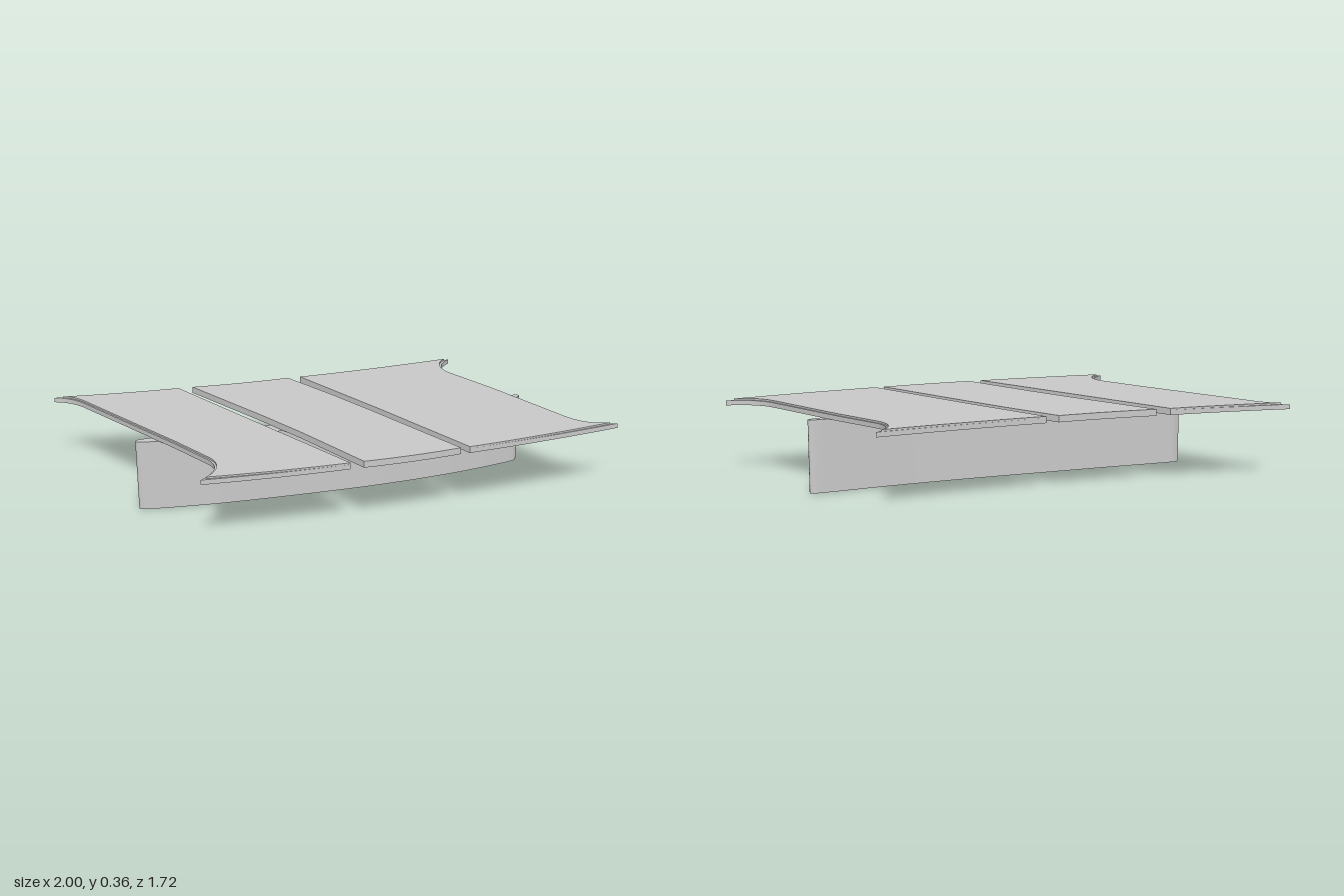
import * as THREE from 'three';
import { toCreasedNormals } from 'three/addons/utils/BufferGeometryUtils.js';

const material = new THREE.MeshStandardMaterial({ color: 0xcccccc });

// Outline in plan, [x, z] start; a 2-number step is a line, a 4-number step a quadratic curve
function planShape(start, steps) {
  const shape = new THREE.Shape();
  shape.moveTo(start[0], -start[1]);
  for (const s of steps) {
    if (s.length === 2) shape.lineTo(s[0], -s[1]);
    else shape.quadraticCurveTo(s[0], -s[1], s[2], -s[3]);
  }
  return shape;
}

// Upright slab from a plan outline between two heights
function slab(name, shape, y0, y1) {
  let geo = new THREE.ExtrudeGeometry(shape, { depth: y1 - y0, bevelEnabled: false, curveSegments: 16 });
  geo.rotateX(-Math.PI / 2);
  geo.translate(0, y0, 0);
  geo = toCreasedNormals(geo, 0.5);
  const mesh = new THREE.Mesh(geo, material);
  mesh.name = name;
  return mesh;
}

// Slightly bowed side edge from a to b
const side = (a, b) => [(a[0] + b[0]) / 2 + 0.016, (a[1] + b[1]) / 2, b[0], b[1]];

// Back panel with two horned corners; d pulls the horned edge inward
function backPanel(d) {
  const left = [-0.03 - d * 0.8, -0.865 + d * 3], right = [1 - d * 2.5, -0.825 + d * 4];
  return planShape([-0.37, -0.18], [
    side([-0.37, -0.18], left),
    [-0.022, -0.75 + d, 0.09, -0.735 + d],
    [0.36, -0.735 + d], [0.8, -0.715 + d],
    [0.92, -0.715 + d, ...right],
    side(right, [0.705, -0.16]),
    [0.15, -0.175],
  ]);
}

function middlePanel() {
  return planShape([-0.4, -0.13], [
    [-0.1, -0.138], [0.15, -0.136], [0.685, -0.125],
    side([0.685, -0.125], [0.485, 0.265]),
    [0.1, 0.252], [-0.15, 0.252], [-0.635, 0.265],
    side([-0.635, 0.265], [-0.4, -0.13]),
  ]);
}

// Front panel with two horned corners
function frontPanel(d) {
  const left = [-1 + d * 4, 0.79 - d * 3.5], right = [0.125 + d * 0.8, 0.855 - d * 3];
  return planShape([-0.67, 0.32], [
    [-0.1, 0.318], [0.455, 0.315],
    side([0.455, 0.315], right),
    [0.11, 0.715 - d, 0, 0.71 - d],
    [-0.22, 0.71 - d], [-0.86, 0.73 - d],
    [-0.945, 0.737 - d, ...left],
    side(left, [-0.67, 0.32]),
  ]);
}

// Bowed blade that carries the top, with rounded ends
function bladeShape() {
  const spine = new THREE.CatmullRomCurve3([
    [-0.392, 0.775], [-0.225, 0.515], [-0.085, 0.28], [0.16, -0.15], [0.33, -0.49], [0.457, -0.79],
  ].map(([x, z]) => new THREE.Vector3(x, 0, z)));
  const a = [], b = [], n = 48;
  for (let i = 0; i <= n; i++) {
    const t = (1 - Math.cos((i / n) * Math.PI)) / 2;
    const p = spine.getPointAt(t), q = spine.getTangentAt(t);
    const w = 0.012 + 0.024 * Math.pow(Math.sin(Math.PI * t), 0.5);
    a.push(new THREE.Vector2(p.x + q.z * w, -(p.z - q.x * w)));
    b.unshift(new THREE.Vector2(p.x - q.z * w, -(p.z + q.x * w)));
  }
  // half-round caps at both ends
  const cap = (t, sign) => {
    const p = spine.getPointAt(t), q = spine.getTangentAt(t), pts = [];
    for (let k = 1; k < 8; k++) {
      const c = Math.cos((k / 8) * Math.PI) * 0.012 * sign, s = Math.sin((k / 8) * Math.PI) * 0.014 * sign;
      pts.push(new THREE.Vector2(p.x + q.z * c + q.x * s, -(p.z - q.x * c + q.z * s)));
    }
    return pts;
  };
  return new THREE.Shape([...a, ...cap(1, 1), ...b, ...cap(0, -1)]);
}

export function createModel() {
  const group = new THREE.Group();
  group.name = 'table';
  group.add(slab('base', bladeShape(), 0, 0.33));

  // Each horned panel is a slab with a thin top layer set back from its horned edge
  const panels = { backPanel, frontPanel };
  for (const [name, outline] of Object.entries(panels)) {
    const panel = new THREE.Group();
    panel.name = name;
    panel.add(slab(name + 'Slab', outline(0), 0.33, 0.352));
    panel.add(slab(name + 'Top', outline(0.008), 0.352, 0.36));
    group.add(panel);
  }
  group.add(slab('middlePanel', middlePanel(), 0.33, 0.36));
  return group;
}
